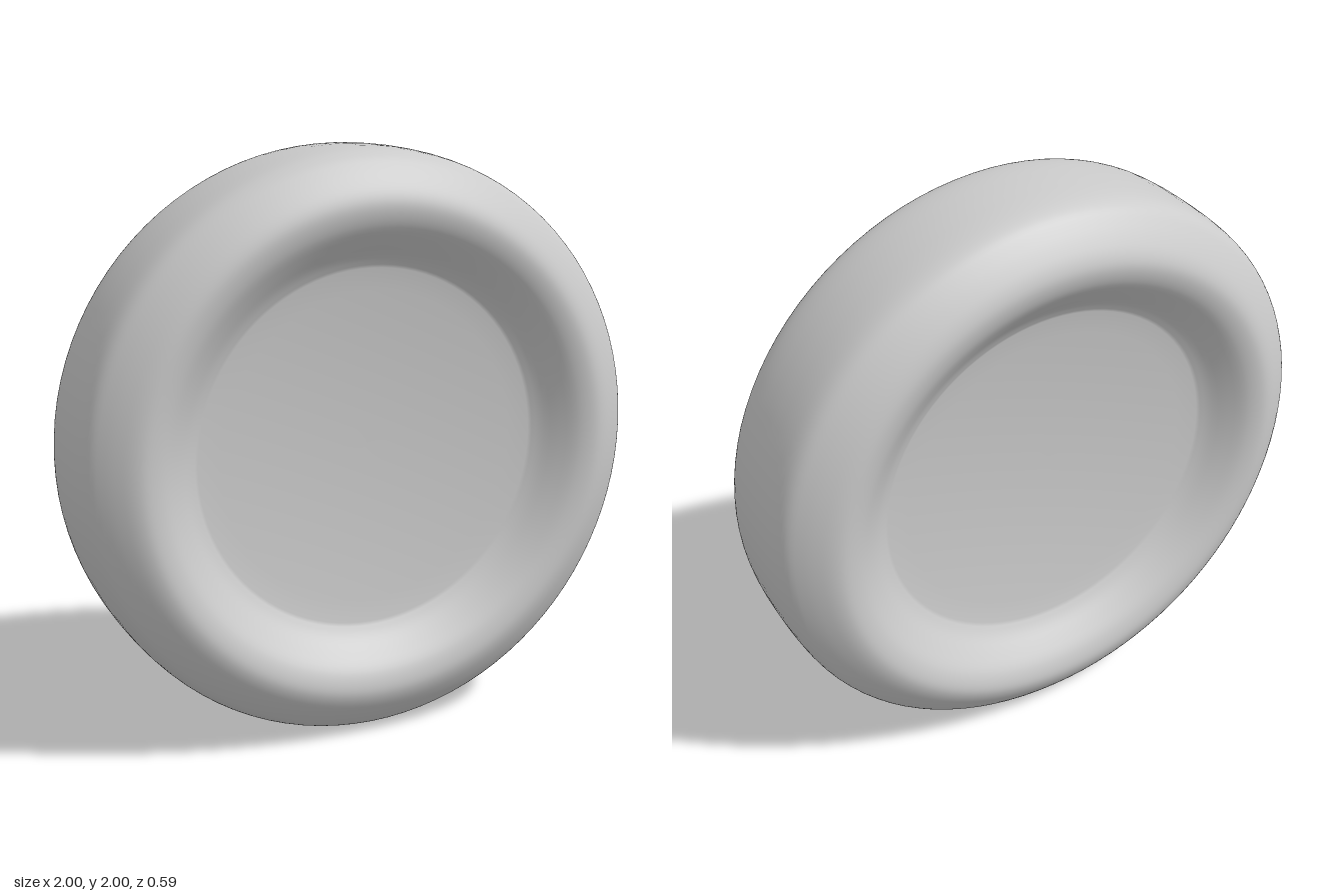
import * as THREE from 'three';

export function createModel() {
  const group = new THREE.Group();
  const material = new THREE.MeshStandardMaterial({ color: 0xcccccc });

  // Half section as [radius, distance from the middle plane]: dish wall, rim, shoulder, tread
  const section = [
    [0.61, 0.177], [0.65, 0.2], [0.7, 0.24], [0.75, 0.276], [0.79, 0.291], [0.825, 0.294],
    [0.86, 0.284], [0.9, 0.261], [0.94, 0.231], [0.972, 0.2], [0.988, 0.165], [0.997, 0.1], [1, 0],
  ];
  const curve = new THREE.CatmullRomCurve3(section.map(([r, d]) => new THREE.Vector3(r, d, 0)));
  const half = curve.getPoints(40).map((p) => new THREE.Vector2(Math.min(p.x, 1), Math.max(p.y, 0)));

  // Shallow concave dish floor, then the half section, mirrored for the other face
  const floor = [];
  for (let i = 0; i < 8; i++) {
    const t = i / 8;
    floor.push(new THREE.Vector2(0.61 * t, 0.14 + 0.037 * t * t));
  }
  const front = [...floor, ...half];
  const back = front.slice(0, -1).map((p) => new THREE.Vector2(p.x, -p.y));
  const geometry = new THREE.LatheGeometry([...back, ...front.reverse()], 96);

  // Turn the axis to face the front and stand the wheel on the ground
  geometry.rotateX(Math.PI / 2);
  geometry.translate(0, 1, 0);

  const wheel = new THREE.Mesh(geometry, material);
  wheel.name = 'wheel';
  group.add(wheel);
  return group;
}
